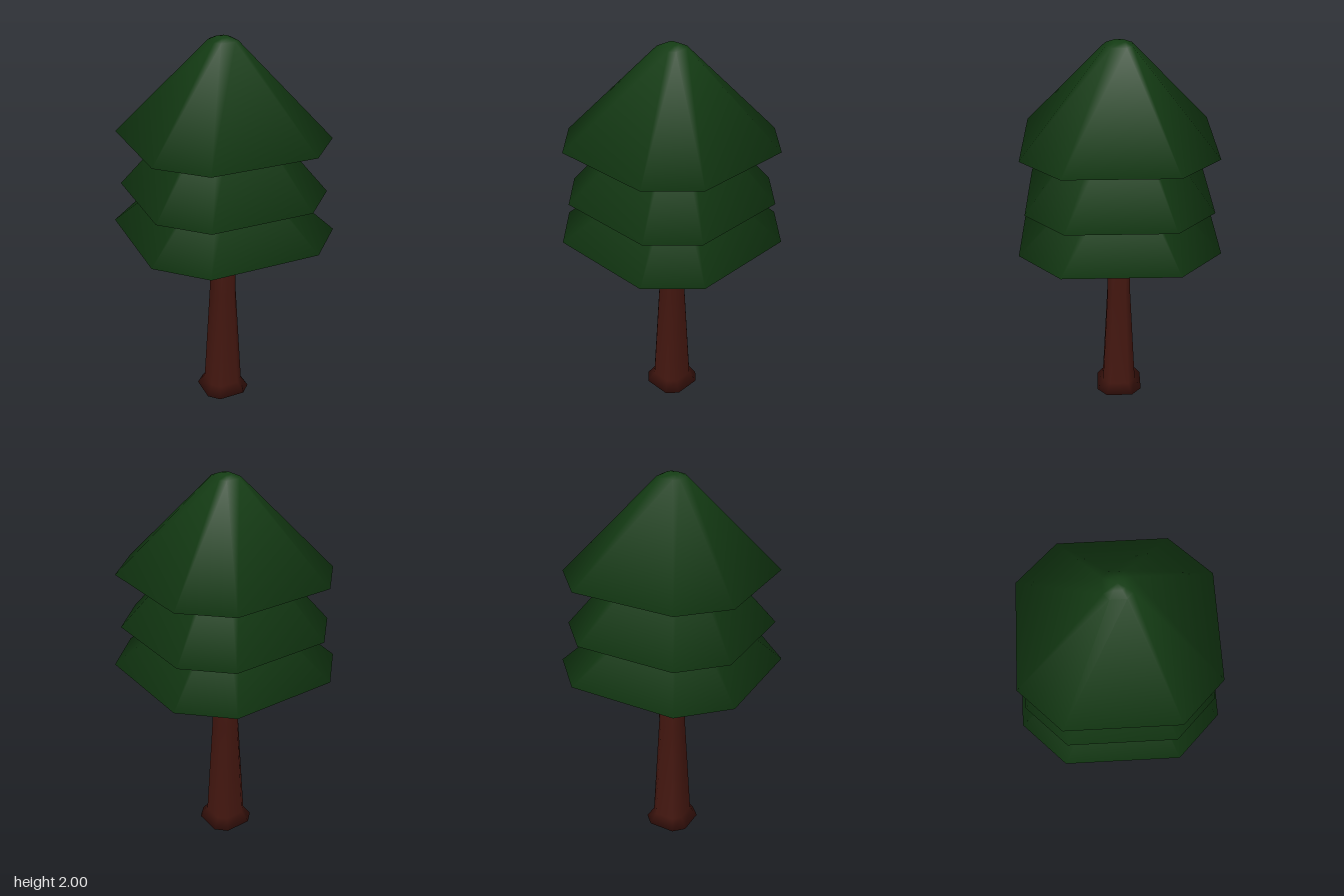
import * as THREE from 'three';
import { mergeVertices } from 'three/addons/utils/BufferGeometryUtils.js';

// Chamfered-square cross-section, half-width 1
const C = 0.573;
const OCTAGON = [[1, -C], [1, C], [C, 1], [-C, 1], [-1, C], [-1, -C], [-C, -1], [C, -1]];

// Closed solid from a [half-width, height] profile, bottom centre to top centre
function octagonSolid(profile) {
  const n = OCTAGON.length;
  const positions = [];
  const index = [];
  for (const [r, y] of profile) {
    for (const [x, z] of OCTAGON) positions.push(r * x, y, r * z);
  }
  for (let i = 0; i < profile.length - 1; i++) {
    for (let j = 0; j < n; j++) {
      const a = i * n + j;
      const b = i * n + (j + 1) % n;
      if (profile[i][0] > 0) index.push(a, a + n, b);
      if (profile[i + 1][0] > 0) index.push(b, a + n, b + n);
    }
  }
  const geometry = new THREE.BufferGeometry();
  geometry.setAttribute('position', new THREE.Float32BufferAttribute(positions, 3));
  geometry.setIndex(index);
  const welded = mergeVertices(geometry);
  welded.computeVertexNormals();
  return welded;
}

export function createModel() {
  const tree = new THREE.Group();
  tree.name = 'pineTree';
  const bark = new THREE.MeshStandardMaterial({ color: 0x42160f });
  const needles = new THREE.MeshStandardMaterial({ color: 0x143c14 });

  const add = (name, profile, material) => {
    const mesh = new THREE.Mesh(octagonSolid(profile), material);
    mesh.name = name;
    tree.add(mesh);
  };

  // Trunk with a flared foot
  add('trunk', [[0, 0], [0.124, 0], [0.09, 0.055], [0.06, 0.65], [0.06, 1.2], [0, 1.2]], bark);

  // Foliage tiers: hollow underside, sloping skirt, small rounded tip
  add('lowerFoliage', [[0, 1.15], [0.49, 1.03], [0.07, 1.43], [0, 1.45]], needles);
  add('middleFoliage', [[0, 1.39], [0.452, 1.24], [0.07, 1.735], [0, 1.75]], needles);
  add('upperFoliage', [[0, 1.67], [0.461, 1.52], [0.062, 1.98], [0.03, 1.995], [0, 2]], needles);

  return tree;
}
